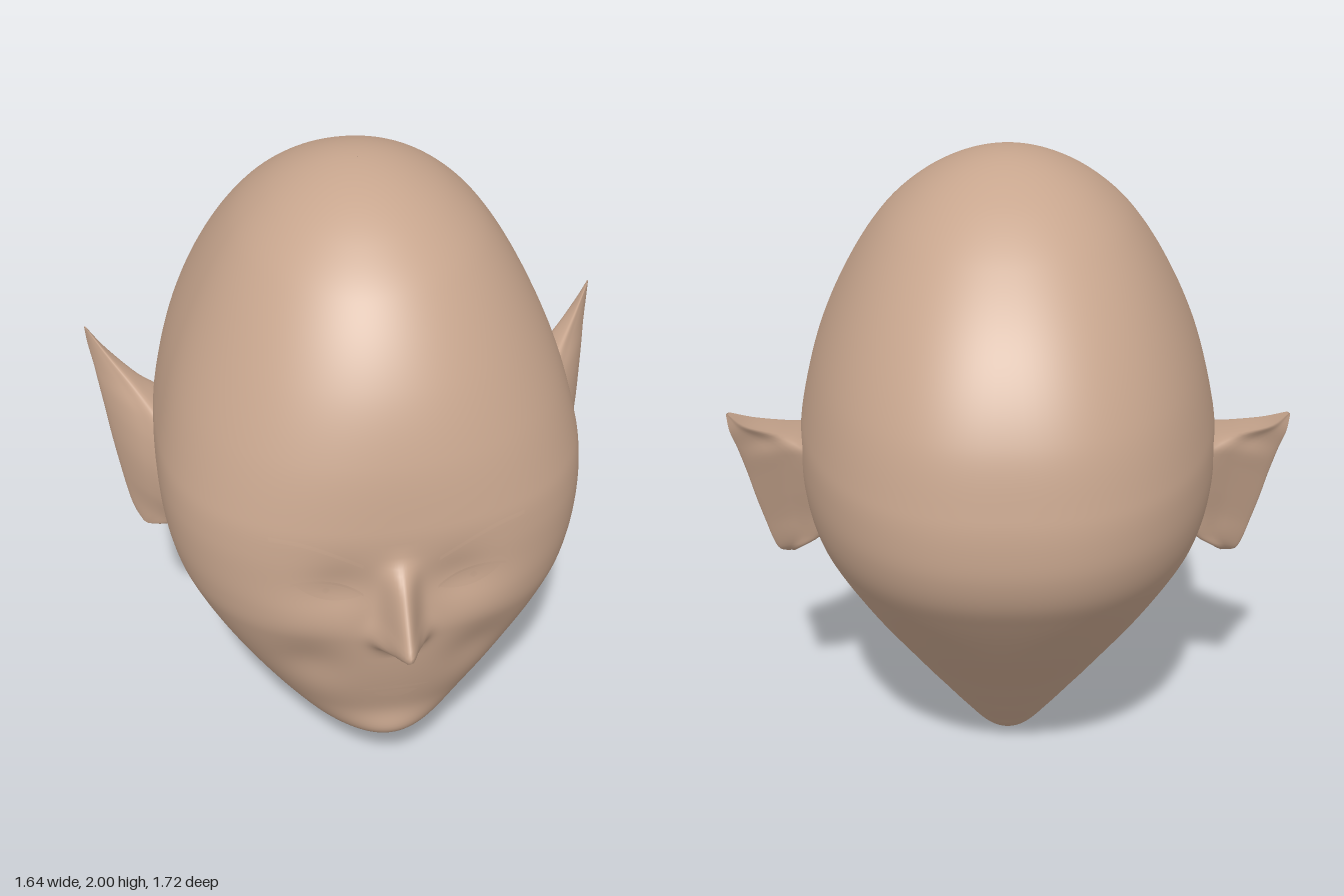
import * as THREE from 'three';

const { abs, cos, sin, acos, exp, max, min, pow, sign, PI } = Math;

// Head profile rows: height, half width, front z, back z, z of the widest point
const PROFILE = [
  [0, 0, 0.02, 0.02, 0.02], [0.02, 0.075, 0.14, -0.075, 0.03], [0.1, 0.16, 0.31, -0.155, 0.06],
  [0.2, 0.24, 0.42, -0.24, 0.08], [0.3, 0.315, 0.515, -0.325, 0.09], [0.4, 0.385, 0.572, -0.41, 0.1],
  [0.6, 0.505, 0.64, -0.585, 0.1], [0.8, 0.6, 0.68, -0.745, 0.1], [0.9, 0.628, 0.685, -0.815, 0.1],
  [1.0, 0.642, 0.685, -0.852, 0.1], [1.1, 0.645, 0.685, -0.862, 0.1], [1.2, 0.636, 0.68, -0.855, 0.09],
  [1.4, 0.585, 0.645, -0.81, 0.06], [1.6, 0.502, 0.567, -0.7, 0.02], [1.8, 0.38, 0.42, -0.51, -0.02],
  [1.9, 0.277, 0.288, -0.37, -0.04], [1.96, 0.176, 0.165, -0.245, -0.05], [2, 0, -0.05, -0.05, -0.05],
];

// Ear rows: height, then x and z of the front edge, the outer rim and the back root
const EAR = [
  [0.712, 0.68, -0.09, 0.695, -0.11, 0.675, -0.11], [0.735, 0.645, -0.05, 0.715, -0.145, 0.65, -0.13],
  [0.78, 0.6, 0, 0.73, -0.17, 0.59, -0.14], [0.87, 0.6, 0.03, 0.748, -0.205, 0.59, -0.165],
  [0.97, 0.6, 0.035, 0.766, -0.245, 0.59, -0.2], [1.06, 0.6, 0.01, 0.78, -0.28, 0.59, -0.23],
  [1.13, 0.61, -0.04, 0.792, -0.31, 0.6, -0.25], [1.185, 0.672, -0.15, 0.802, -0.335, 0.675, -0.265],
  [1.25, 0.755, -0.27, 0.816, -0.365, 0.77, -0.34], [1.305, 0.815, -0.355, 0.822, -0.372, 0.818, -0.37],
];

const angleOf = (y) => acos(max(-1, min(1, 1 - y)));

// Smooth interpolation of table rows by height, measured along an arc so the poles stay round
function sample(rows, y) {
  let k = 0;
  while (k < rows.length - 2 && y > rows[k + 1][0]) k++;
  const at = (i) => rows[max(0, min(rows.length - 1, i))];
  const [p, a, b, q] = [at(k - 1), at(k), at(k + 1), at(k + 2)];
  const [tp, ta, tb, tq] = [p, a, b, q].map((r) => angleOf(r[0]));
  const d = tb - ta;
  const t = max(0, min(1, (angleOf(y) - ta) / d));
  return a.map((v, i) => {
    const m0 = ((b[i] - p[i]) / (tb - tp)) * d;
    const m1 = ((q[i] - v) / (tq - ta)) * d;
    return v * (1 + 2 * t) * (1 - t) ** 2 + m0 * t * (1 - t) ** 2
      + b[i] * t * t * (3 - 2 * t) + m1 * t * t * (t - 1);
  });
}

const bell = (d, s) => exp(-((d / s) ** 2));
const NOSE = [[0.72, 0], [0.765, 0.03], [0.8, 0.085], [0.835, 0.15], [0.865, 0.178],
  [0.9, 0.155], [0.97, 0.105], [1.03, 0.062], [1.09, 0.01], [1.14, 0]];

// Relief of the face: nose, nostrils, sockets, cheekbones, cheeks and chin
function relief(x, y) {
  const ax = abs(x);
  let r = 0;
  if (y > 0.72 && y < 1.14) {
    const width = 0.042 + 0.016 * bell(y - 0.8, 0.08);
    r += sample(NOSE, y)[1] * bell(x, width);
  }
  r += 0.02 * bell(ax - 0.055, 0.03) * bell(y - 0.81, 0.035);
  r -= 0.02 * bell(ax - 0.17, 0.1) * bell(y - 1.0, 0.09);
  r += 0.01 * bell(ax - 0.3, 0.12) * bell(y - 0.87, 0.09);
  r -= 0.025 * bell(ax - 0.25, 0.1) * bell(y - 0.66, 0.11);
  r += 0.055 * bell(x, 0.17) * bell(y - 0.305, 0.075);
  return r;
}

// z of the face at x, y
function frontZ(x, y, [, w, zf, , zc] = sample(PROFILE, y)) {
  const n = 2 + 0.45 * bell(y - 0.95, 0.45);
  const side = w > 0 ? min(1, abs(x) / w) : 0;
  const fall = pow(max(0, 1 - pow(side, n)), 1 / n);
  return zc + (zf - zc) * fall + relief(x, y) * min(1, fall * 2);
}

// Skin over closed rings listed from bottom to top
function loft(rings) {
  const n = rings[0].length;
  const index = [];
  for (let i = 0; i < rings.length - 1; i++) {
    for (let j = 0; j < n; j++) {
      const k = (j + 1) % n;
      const [a, b, c, d] = [i * n + j, i * n + k, (i + 1) * n + k, (i + 1) * n + j];
      index.push(a, b, c, a, c, d);
    }
  }
  const g = new THREE.BufferGeometry().setFromPoints(rings.flat());
  g.setIndex(index);
  g.computeVertexNormals();
  return g;
}

function headGeometry() {
  const rings = [];
  const rows = 200, front = 128, back = 64;
  for (let i = 0; i <= rows; i++) {
    const y = 1 - cos(PI * max(0.0003, min(0.9997, i / rows)));
    const p = sample(PROFILE, y);
    const [, w, , zb, zc] = p;
    const ring = [];
    for (let j = 0; j < front; j++) {
      const t = (2 * j) / front - 1;
      const x = w * sin((PI / 2) * t * (0.55 + 0.45 * t * t));
      ring.push(new THREE.Vector3(x, y, frontZ(x, y, p)));
    }
    // The back of the skull is a little squarer than an ellipse
    const e = 2 / (2 + 0.4 * bell(y - 1.2, 0.6));
    for (let j = 0; j < back; j++) {
      const c = cos((PI * j) / back), s = sin((PI * j) / back);
      ring.push(new THREE.Vector3(w * sign(c) * pow(abs(c), e), y, zc + (zb - zc) * pow(s, e)));
    }
    rings.push(ring);
  }
  return loft(rings);
}

// Pointed ear: wedge-shaped sections with a bulged outside and a hollow back
function earGeometry() {
  const rings = [];
  for (let i = 0; i <= 48; i++) {
    const y = 0.712 + (0.593 * i) / 48;
    const [, ax, az, bx, bz, cx, cz] = sample(EAR, y);
    const mix = (t, out) => new THREE.Vector3(
      ax + (bx - ax) * t + out * (az - bz), y, az + (bz - az) * t + out * (bx - ax));
    const hollow = new THREE.Vector3(cx + (bx - cx) * 0.5, y, cz + (bz - cz) * 0.5 + (az - cz) * 0.05);
    const rim = new THREE.Vector3(bx, y, bz);
    const curve = new THREE.CatmullRomCurve3(
      [mix(0, 0), mix(0.3, 0.06), mix(0.65, 0.07), mix(0.95, 0.03), rim, hollow, new THREE.Vector3(cx, y, cz)],
      true, 'centripetal');
    rings.push(curve.getPoints(36).slice(0, -1));
  }
  return loft(rings);
}

// Thin patch floating just off the face between a lower and an upper edge
function patch(x0, x1, lower, upper, lift) {
  const g = new THREE.PlaneGeometry(1, 1, 28, 4);
  const pos = g.attributes.position;
  for (let i = 0; i < pos.count; i++) {
    const t = pos.getX(i) + 0.5, v = pos.getY(i) + 0.5;
    const x = x0 + (x1 - x0) * t;
    const y = lower(t) + (upper(t) - lower(t)) * v;
    pos.setXYZ(i, x, y, frontZ(x, y) + lift);
  }
  g.computeVertexNormals();
  return g;
}

export function createModel() {
  const model = new THREE.Group();
  model.name = 'head';
  const skin = new THREE.MeshStandardMaterial({ color: 0xc8a68e, side: THREE.DoubleSide });
  skin.name = 'skin';

  const add = (name, geometry, mirror = 1) => {
    const mesh = new THREE.Mesh(geometry, skin);
    mesh.name = name;
    mesh.scale.x = mirror;
    model.add(mesh);
  };

  add('skull', headGeometry());

  // Paired parts
  const arch = (t) => pow(max(0, sin(PI * t)), 0.8);
  const brow = (t) => 1.1 + 0.08 * sin((PI / 2) * min(1, t * 1.2));
  const lid = (t) => 0.985 + 0.04 * t + 0.03 * arch(t);
  const pairs = {
    Ear: earGeometry(),
    Eyebrow: patch(0.11, 0.37, (t) => brow(t) - 0.007, (t) => brow(t) + 0.007, 0.02),
    Eye: patch(0.115, 0.3, (t) => 0.985 + 0.04 * t - 0.035 * arch(t), lid, 0.018),
    Eyelid: patch(0.11, 0.315, (t) => lid(t) + 0.002, (t) => lid(t) + 0.012, 0.026),
    Pupil: patch(0.205, 0.227, (t) => 1.012 - 0.011 * arch(t), (t) => 1.012 + 0.011 * arch(t), 0.026),
  };
  for (const [name, geometry] of Object.entries(pairs)) {
    add('left' + name, geometry);
    add('right' + name, geometry, -1);
  }

  // Lips
  add('upperLip', patch(-0.1, 0.1, () => 0.565, (t) => 0.568 + 0.012 * arch(t), 0.018));
  add('lowerLip', patch(-0.068, 0.068, (t) => 0.545 - 0.027 * arch(t), (t) => 0.545 + 0.012 * arch(t), 0.018));
  return model;
}
